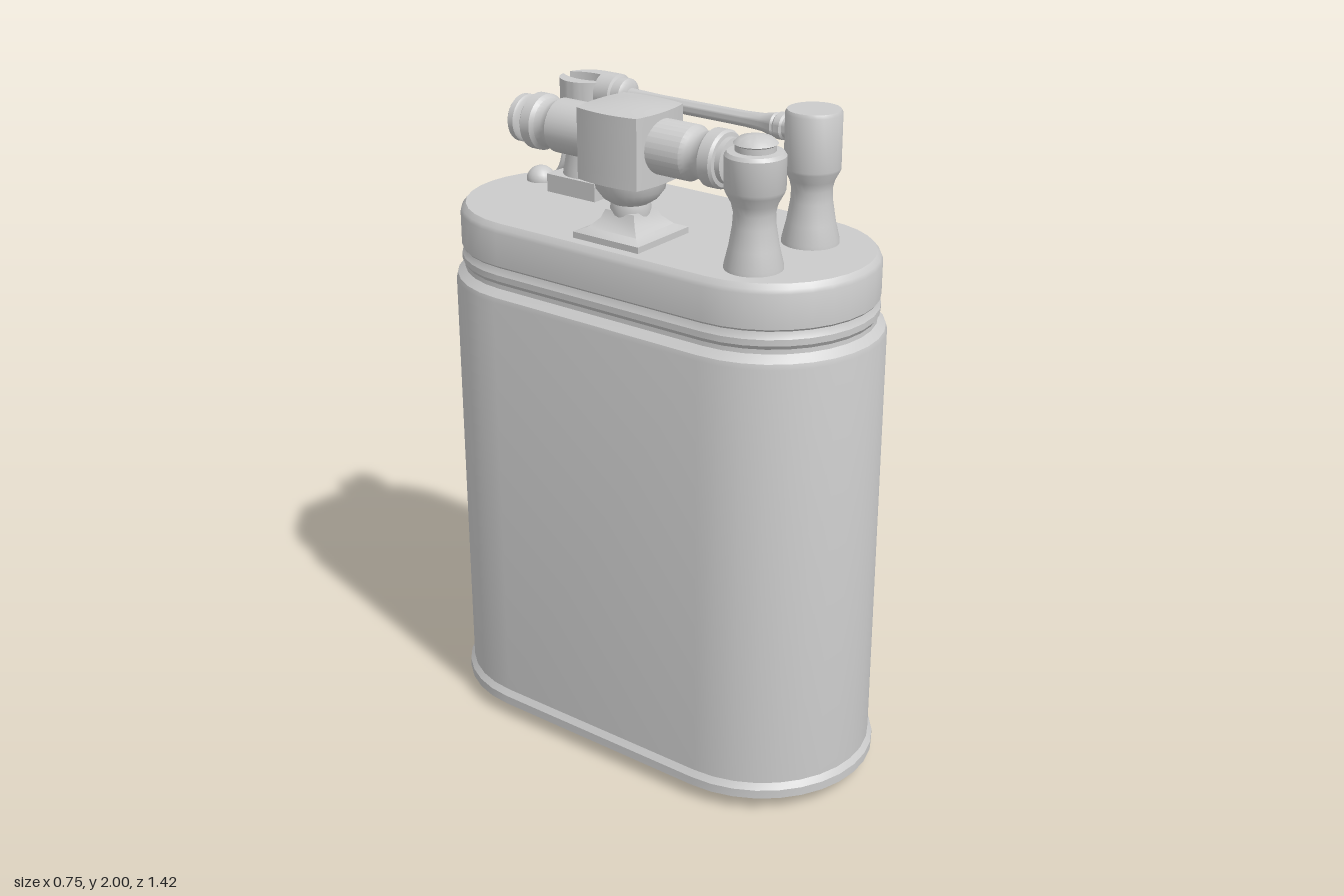
import * as THREE from 'three';
import { toCreasedNormals } from 'three/addons/utils/BufferGeometryUtils.js';

const material = new THREE.MeshStandardMaterial({ color: 0xcccccc });
const CENTER_X = -0.034, STRAIGHT = 0.364;

function part(group, name, geometry, x = 0, y = 0, z = 0, mat = material) {
  const mesh = new THREE.Mesh(geometry, mat);
  mesh.name = name;
  mesh.position.set(x, y, z);
  group.add(mesh);
  return mesh;
}

// Turned part from [radius, height] pairs
function turned(profile, segments = 28, crease = 0.6) {
  const geo = new THREE.LatheGeometry(profile.map(([r, y]) => new THREE.Vector2(r, y)), segments);
  return toCreasedNormals(geo, crease);
}

// Capsule-shaped outline swept through [end radius, height] pairs
function capsuleLoft(profile, steps = 16) {
  const positions = [], index = [], n = 2 * (steps + 1);
  for (const [r, y] of profile) {
    for (let end = 0; end < 2; end++) {
      for (let i = 0; i <= steps; i++) {
        const a = Math.PI * (end + i / steps);
        positions.push(Math.cos(a) * r, y, Math.sin(a) * r + (end ? -STRAIGHT : STRAIGHT));
      }
    }
  }
  for (let i = 0; i < profile.length - 1; i++) {
    for (let j = 0; j < n; j++) {
      const a = i * n + j, b = i * n + (j + 1) % n;
      index.push(a, a + n, b, b, a + n, b + n);
    }
  }
  const geo = new THREE.BufferGeometry();
  geo.setAttribute('position', new THREE.Float32BufferAttribute(positions, 3));
  geo.setIndex(index);
  return toCreasedNormals(geo, 0.5);
}

// Box whose sides and top swell outward
function pillow(w, h, d, swell) {
  const geo = new THREE.BoxGeometry(w, h, d, 8, 6, 8);
  const p = geo.attributes.position;
  for (let i = 0; i < p.count; i++) {
    const u = 2 * p.getX(i) / w, v = 2 * p.getY(i) / h, t = 2 * p.getZ(i) / d;
    const lift = v > 0 ? v * swell * 0.7 * (1 - u * u) * (1 - t * t) : 0;
    p.setXYZ(i, p.getX(i) + u * swell * (1 - t * t), p.getY(i) + lift, p.getZ(i) + t * swell * (1 - u * u));
  }
  return toCreasedNormals(geo, 0.6);
}

export function createModel() {
  const model = new THREE.Group();
  model.name = 'liftArmLighter';

  // Tank with base flange, shoulder and neck bead
  part(model, 'tank', capsuleLoft([
    [0, 0.045], [0.346, 0.045], [0.346, 0.072], [0.333, 0.09], [0.333, 1.39], [0.329, 1.405], [0.306, 1.425],
    [0.305, 1.438], [0.313, 1.45], [0.313, 1.468], [0.305, 1.482], [0.302, 1.5],
  ]), CENTER_X);
  part(model, 'lid', capsuleLoft([
    [0, 1.49], [0.308, 1.49], [0.313, 1.496], [0.313, 1.595], [0.308, 1.607], [0.297, 1.62], [0, 1.62],
  ]), CENTER_X);

  // Filler cap under the base
  part(model, 'fillerDisc', turned([[0, 0.036], [0.165, 0.036], [0.17, 0.04], [0.17, 0.068], [0, 0.068]], 18), 0.205);
  part(model, 'fillerScrew', turned([[0, 0], [0.025, 0.002], [0.05, 0.016], [0.058, 0.024], [0.058, 0.04]], 16), 0.205);

  // Two turned posts at the front
  const waist = [[0, 1.61], [0.082, 1.61], [0.081, 1.63], [0.069, 1.68], [0.059, 1.74], [0.057, 1.775], [0.063, 1.8], [0.078, 1.828]];
  part(model, 'snufferPost', turned([
    ...waist, [0.083, 1.84], [0.083, 1.93], [0.076, 1.94], [0.055, 1.942], [0.055, 1.958],
    [0.06, 1.962], [0.045, 1.976], [0.02, 1.983], [0, 1.984],
  ]), -0.198, 0, 0.427);
  part(model, 'armPost', turned([...waist, [0.079, 1.835], [0.079, 1.985], [0.074, 1.995], [0, 1.995]]), 0.075, 0, 0.427);

  // Slotted clamp post at the back
  const clamp = new THREE.Group();
  clamp.name = 'clampPost';
  clamp.position.set(0.076, 0, -0.365);
  model.add(clamp);
  part(clamp, 'clampBase', new THREE.BoxGeometry(0.178, 0.06, 0.182), 0, 1.645, 0);
  part(clamp, 'clampStem', turned([
    [0, 1.66], [0.082, 1.66], [0.075, 1.7], [0.066, 1.75], [0.064, 1.78], [0.07, 1.81], [0.083, 1.84], [0, 1.84],
  ]));
  const cheek = new THREE.Shape();
  const start = Math.acos(0.015 / 0.083);
  cheek.absarc(0, 0, 0.083, -start, start, false);
  cheek.quadraticCurveTo(0.066, 0, 0.015, -0.0816);
  const cheekGeo = toCreasedNormals(
    new THREE.ExtrudeGeometry(cheek, { depth: 0.13, bevelEnabled: false, curveSegments: 14 }).rotateX(-Math.PI / 2), 0.6);
  for (const turn of [0, Math.PI]) part(clamp, 'clampCheek', cheekGeo, 0, 1.835, 0).rotation.y = turn;
  part(clamp, 'armTongue', new THREE.BoxGeometry(0.032, 0.11, 0.15), 0, 1.885, 0.01);

  // Lift arm between the posts
  part(model, 'liftArm', turned([
    [0, -0.3], [0.058, -0.3], [0.058, -0.248], [0.05, -0.244], [0.05, -0.215], [0.04, -0.207], [0.024, -0.204],
    [0.021, -0.1], [0.022, 0.2], [0.025, 0.26], [0.034, 0.302], [0.03, 0.308], [0.038, 0.316], [0.038, 0.335], [0.032, 0.34], [0.032, 0.37],
  ], 24).rotateX(Math.PI / 2), 0.077, 1.93, 0);

  // Curved spring and its rivet
  const spring = new THREE.CatmullRomCurve3([
    [1.9, -0.435], [1.84, -0.443], [1.74, -0.452], [1.67, -0.475], [1.64, -0.51], [1.635, -0.55],
  ].map(([y, z]) => new THREE.Vector3(0, y, z)));
  const springGeo = new THREE.TubeGeometry(spring, 28, 0.006, 8).scale(2.4, 1, 1);
  part(model, 'spring', springGeo, 0.072);
  part(model, 'springRivet', new THREE.SphereGeometry(0.044, 20, 12).scale(1, 0.95, 1), 0.07, 1.622, -0.553);

  // Horizontal striker tube
  part(model, 'strikerTube', turned([
    [0, -0.392], [0.064, -0.392], [0.068, -0.388], [0.068, -0.37], [0.062, -0.365], [0.043, -0.362], [0.043, -0.34],
    [0.074, -0.338], [0.08, -0.332], [0.08, -0.3], [0.07, -0.29], [0.066, -0.27], [0.07, -0.252], [0.077, -0.245],
    [0.077, 0.22], [0.069, 0.232], [0.065, 0.25], [0.069, 0.272], [0.08, 0.285], [0.08, 0.32], [0.074, 0.328],
    [0.063, 0.33], [0.063, 0.346], [0.043, 0.35], [0.043, 0.38], [0, 0.38],
  ], 32).rotateX(Math.PI / 2), -0.185, 1.895, 0);

  // Central block on a square pedestal
  part(model, 'strikerBlock', pillow(0.206, 0.2, 0.206, 0.013), -0.185, 1.89, 0);
  part(model, 'blockCup', turned([
    [0.055, 1.68], [0.058, 1.705], [0.055, 1.72], [0.078, 1.735], [0.097, 1.76], [0.103, 1.795], [0, 1.795],
  ], 24), -0.185);
  const foot = [[0.115, 1.61], [0.115, 1.638], [0.085, 1.65], [0.06, 1.675], [0.05, 1.7], [0, 1.7]]
    .map(([r, y]) => [r * Math.SQRT2, y]);
  part(model, 'blockPedestal', turned(foot, 4).rotateY(Math.PI / 4), -0.185);

  return model;
}
